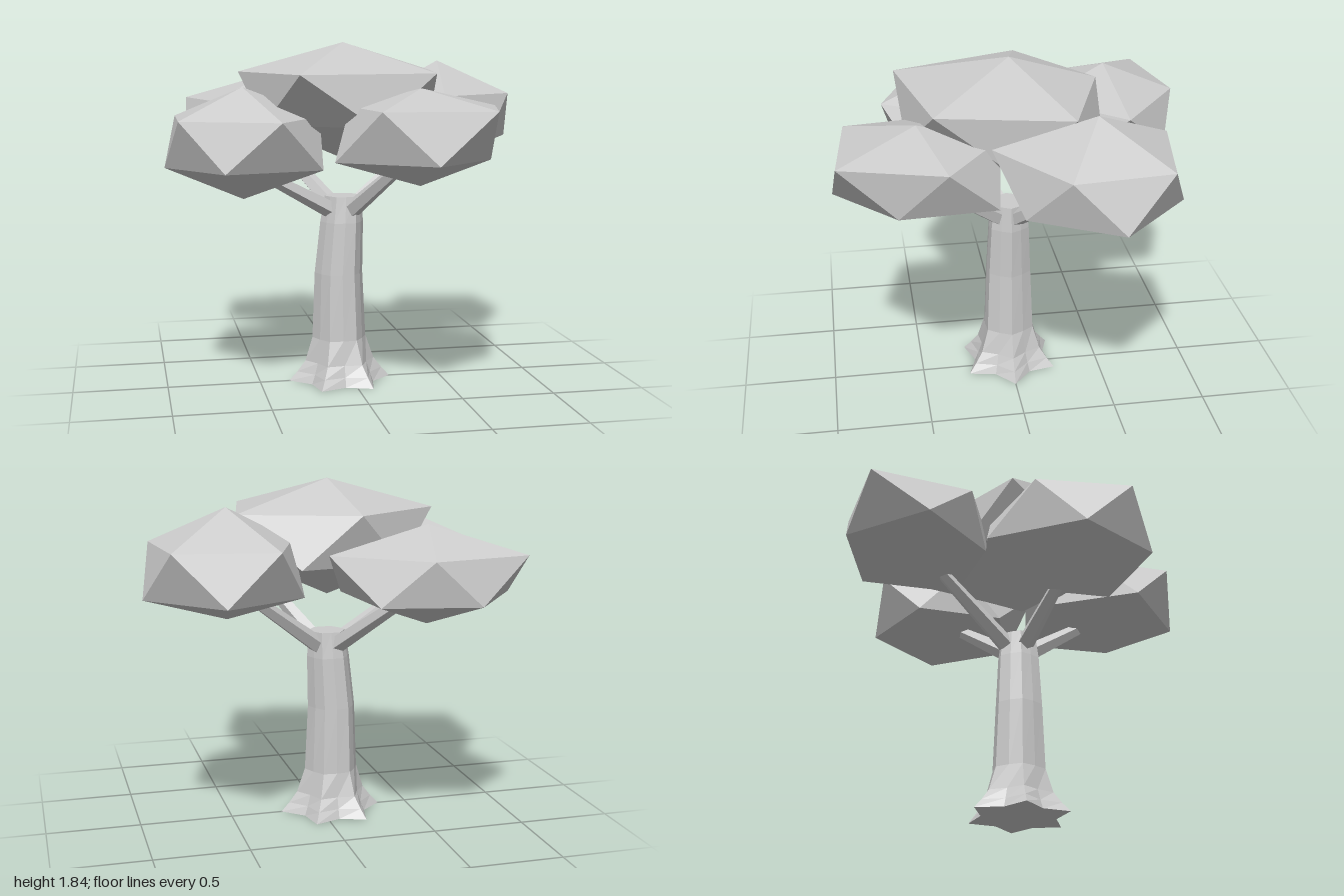
import * as THREE from 'three';

const material = new THREE.MeshStandardMaterial({ color: 0xcccccc, flatShading: true });

function addMesh(parent, name, geometry) {
  const mesh = new THREE.Mesh(geometry, material);
  mesh.name = name;
  parent.add(mesh);
  return mesh;
}

// Closed skin over rings of equal length, with a tip at each end (rings run upwards,
// each ring turning from +x towards +z).
function skinRings(rings, bottom, top) {
  const n = rings[0].length;
  const points = [...rings.flat(), bottom, top];
  const index = [];
  const last = (rings.length - 1) * n;
  for (let i = 0; i < n; i++) {
    const j = (i + 1) % n;
    for (let r = 0; r < last; r += n) {
      index.push(r + i, r + n + i, r + j, r + j, r + n + i, r + n + j);
    }
    index.push(rings.length * n, i, j, rings.length * n + 1, last + j, last + i);
  }
  const geometry = new THREE.BufferGeometry().setFromPoints(points);
  geometry.setIndex(index);
  const flat = geometry.toNonIndexed();
  flat.computeVertexNormals();
  return flat;
}

function ring(cx, y, cz, radii, startDegrees) {
  return radii.map((r, i) => {
    const a = THREE.MathUtils.degToRad(startDegrees) + (i / radii.length) * Math.PI * 2;
    return new THREE.Vector3(cx + r * Math.cos(a), y, cz + r * Math.sin(a));
  });
}

// Irregular icosahedral leaf clumps: heights are [bottom, lower ring, upper ring, top].
// The lower ring is turned back by 36 degrees from the upper one.
const clumps = [
  { name: 'centreFoliage', x: -0.04, z: 0, y: [1.22, 1.42, 1.685, 1.84], turn: 47,
    upper: [0.59, 0.66, 0.56, 0.475, 0.6], lower: [0.46, 0.55, 0.5, 0.45, 0.52] },
  { name: 'frontFoliage', x: 0.26, z: 0.51, y: [1.125, 1.265, 1.52, 1.615], turn: 56,
    upper: [0.49, 0.45, 0.36, 0.42, 0.44], lower: [0.35, 0.43, 0.48, 0.42, 0.48] },
  { name: 'rightFoliage', x: -0.6, z: 0.2, y: [1.04, 1.21, 1.46, 1.615], turn: 72,
    upper: [0.47, 0.42, 0.41, 0.43, 0.4], lower: [0.46, 0.41, 0.4, 0.48, 0.42] },
  { name: 'leftFoliage', x: 0.57, z: -0.34, y: [1.175, 1.3, 1.555, 1.735], turn: 28,
    upper: [0.41, 0.51, 0.35, 0.44, 0.44], lower: [0.43, 0.42, 0.4, 0.4, 0.43] },
  { name: 'backFoliage', x: -0.4, z: -0.58, y: [1.15, 1.29, 1.515, 1.65], turn: 68,
    upper: [0.41, 0.39, 0.5, 0.38, 0.52], lower: [0.45, 0.36, 0.45, 0.4, 0.43] },
];

function clumpGeometry({ x, z, y, turn, upper, lower }) {
  const low = ring(x, y[1], z, lower, turn - 36);
  const high = ring(x, y[2], z, upper, turn);
  return skinRings([low, high], new THREE.Vector3(x, y[0], z), new THREE.Vector3(x, y[3], z));
}

// Trunk sections: [height, centre x, ridge radius, groove radius]
const trunkSections = [
  [0, -0.06, 0.28, 0.195],
  [0.05, -0.06, 0.235, 0.175],
  [0.11, -0.06, 0.19, 0.155],
  [0.24, -0.063, 0.148, 0.135],
  [0.6, -0.065, 0.132, 0.122],
  [0.88, -0.047, 0.118, 0.108],
  [1.02, -0.04, 0.1, 0.09],
];

function trunkGeometry() {
  const rings = trunkSections.map(([y, x, ridge, groove]) =>
    ring(x, y, 0, Array.from({ length: 12 }, (_, i) => (i % 2 ? groove : ridge)), 0));
  return skinRings(rings, new THREE.Vector3(-0.06, 0, 0), new THREE.Vector3(-0.04, 1.02, 0));
}

// Tapered five-sided limb between two points
function addBranch(parent, name, from, to) {
  const axis = to.clone().sub(from);
  const mesh = addMesh(parent, name, new THREE.CylinderGeometry(0.03, 0.05, axis.length(), 5));
  mesh.position.copy(from).addScaledVector(axis, 0.5);
  mesh.quaternion.setFromUnitVectors(new THREE.Vector3(0, 1, 0), axis.normalize());
}

export function createModel() {
  const tree = new THREE.Group();
  tree.name = 'tree';
  addMesh(tree, 'trunk', trunkGeometry());

  const foliage = new THREE.Group();
  foliage.name = 'foliage';
  const branches = new THREE.Group();
  branches.name = 'branches';
  tree.add(branches, foliage);

  clumps.forEach((clump, i) => {
    addMesh(foliage, clump.name, clumpGeometry(clump));
    if (i === 0) return;
    // Limbs leave the trunk top and end inside each outer clump
    const target = new THREE.Vector3(clump.x * 0.9, clump.y[0] + 0.15, clump.z * 0.9);
    const out = new THREE.Vector3(clump.x + 0.04, 0, clump.z).normalize();
    const start = new THREE.Vector3(-0.04, 0.94, 0).addScaledVector(out, 0.06);
    addBranch(branches, clump.name.replace('Foliage', 'Branch'), start, target);
  });
  return tree;
}
